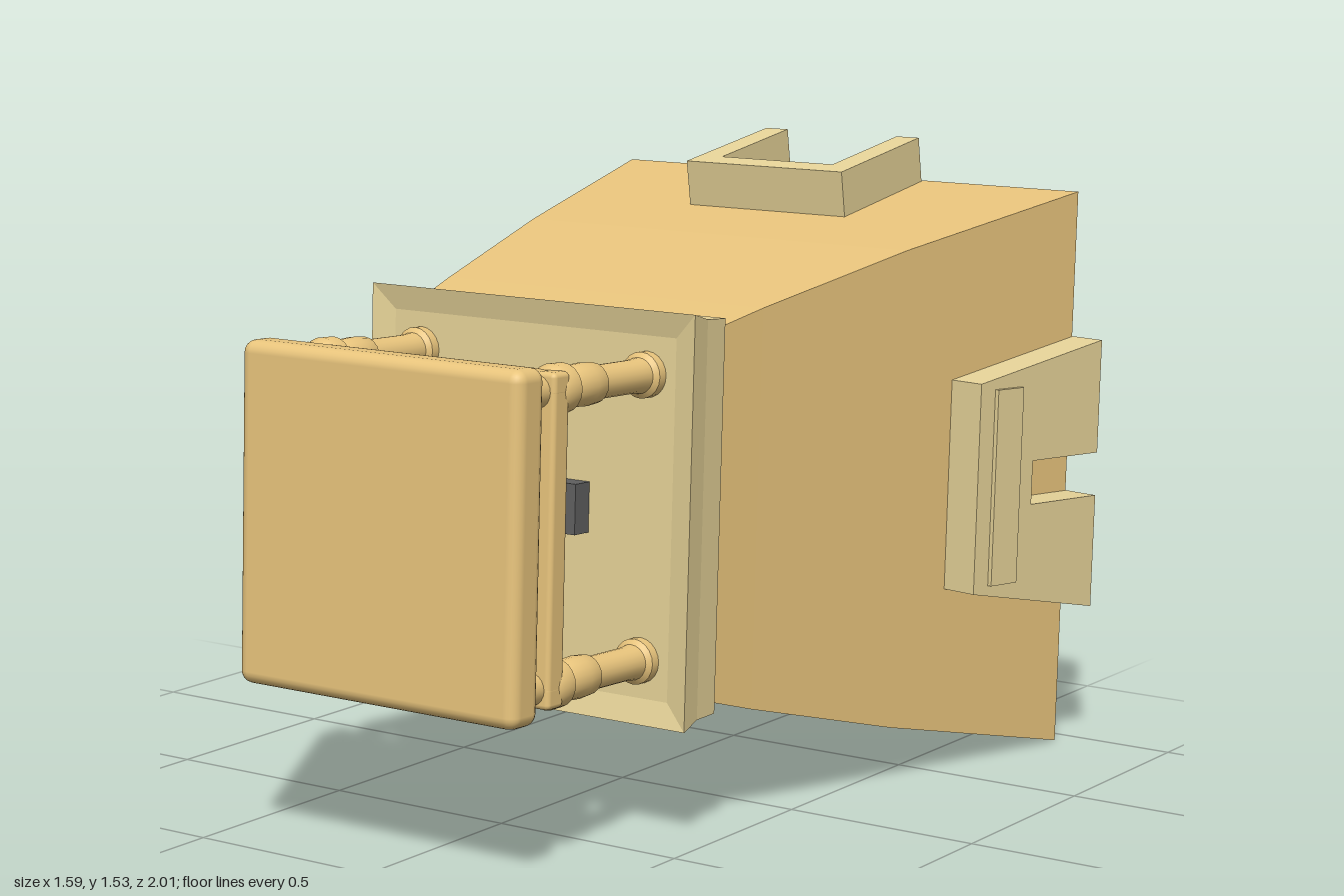
import * as THREE from 'three';
import { toCreasedNormals } from 'three/addons/utils/BufferGeometryUtils.js';
import { RoundedBoxGeometry } from 'three/addons/geometries/RoundedBoxGeometry.js';

const mat = (color, side = THREE.FrontSide) => new THREE.MeshStandardMaterial({ color, side });
const sand = mat(0xe8c47c);
const sandThin = mat(0xe8c47c, THREE.DoubleSide);
const pale = mat(0xe6d398);
const paleThin = mat(0xe6d398, THREE.DoubleSide);
const grey = mat(0x606060);
const dark = mat(0x222222);
const green = mat(0x2a3633);

function add(parent, name, geometry, material, x = 0, y = 0, z = 0) {
  const mesh = new THREE.Mesh(geometry, material);
  mesh.name = name;
  mesh.position.set(x, y, z);
  parent.add(mesh);
  return mesh;
}

// Rectangular tube through sections [z, half width, half height]
function rectTube(sections) {
  const corners = [[1, 1], [-1, 1], [-1, -1], [1, -1]];
  const pos = [];
  for (let i = 0; i < sections.length - 1; i++) {
    for (let k = 0; k < 4; k++) {
      const p = (s, c) => [c[0] * s[1], c[1] * s[2], s[0]];
      const c0 = corners[k], c1 = corners[(k + 1) % 4];
      const a0 = p(sections[i], c0), a1 = p(sections[i], c1);
      const b0 = p(sections[i + 1], c0), b1 = p(sections[i + 1], c1);
      pos.push(...a0, ...a1, ...b1, ...a0, ...b1, ...b0);
    }
  }
  const g = new THREE.BufferGeometry();
  g.setAttribute('position', new THREE.Float32BufferAttribute(pos, 3));
  g.computeVertexNormals();
  return g;
}

// Notched plate set through a wall; the notch opens to the back
function clip({ front, back, length, notch, notchStart, out, inside }) {
  const shape = new THREE.Shape([
    [-front, 0], [front, 0], [back, length], [notch, length],
    [notch, notchStart], [-notch, notchStart], [-notch, length], [-back, length],
  ].map(([x, y]) => new THREE.Vector2(x, y)));
  const g = new THREE.ExtrudeGeometry(shape, { depth: out + inside, bevelEnabled: false });
  return g.translate(0, 0, -inside);
}

// Small figure standing along +z
function figure(parent, name, x, z, height, material) {
  const f = new THREE.Group();
  f.name = name;
  f.position.set(x, 0.03, z);
  const h = height;
  const stem = add(f, 'stem', new THREE.CylinderGeometry(0.006, 0.008, h * 0.45, 8), material, 0, 0, h * 0.2);
  stem.rotation.x = Math.PI / 2;
  const body = add(f, 'body', new THREE.SphereGeometry(1, 12, 8), material, 0, 0, h * 0.46);
  body.scale.set(0.036, 0.038, h * 0.23);
  const head = add(f, 'head', new THREE.SphereGeometry(0.034, 12, 8), material, 0, 0.015, h * 0.7);
  head.scale.set(1, 1.2, 0.9);
  for (const s of [-1, 1]) {
    const ear = add(f, 'ear', new THREE.ConeGeometry(0.012, h * 0.3, 6), material, s * 0.02, 0.015, h * 0.86);
    ear.rotation.x = Math.PI / 2;
    const arm = add(f, 'arm', new THREE.CapsuleGeometry(0.009, 0.04, 3, 8), material, s * 0.033, 0.01, h * 0.5);
    arm.rotation.set(Math.PI / 2, 0, 0);
  }
  parent.add(f);
}

export function createModel() {
  const root = new THREE.Group();
  root.name = 'model';
  // The whole object leans back slightly
  const m = new THREE.Group();
  m.name = 'leaningBody';
  m.position.set(0.015, 0.751, 0);
  m.rotation.x = -0.042;
  root.add(m);

  // Open tapered housing
  add(m, 'housing', rectTube([
    [-0.97, 0.69, 0.71], [-0.35, 0.563, 0.59], [0.13, 0.464, 0.478], [0.275, 0.435, 0.44],
  ]), sandThin);

  // Collar with front plate and recessed inner step
  add(m, 'collar', rectTube([
    [0.275, 0.43, 0.435], [0.275, 0.456, 0.465], [0.35, 0.458, 0.468],
    [0.42, 0.47, 0.485], [0.405, 0.41, 0.425], [0.405, 0, 0],
  ]), paleThin);
  add(m, 'innerStep', rectTube([
    [0.275, 0.436, 0.441], [0.275, 0.34, 0.345], [0.395, 0.34, 0.345], [0.395, 0, 0],
  ]), paleThin);

  // Top clip
  const top = add(m, 'topClip', clip({
    front: 0.235, back: 0.235, length: 0.38, notch: 0.168, notchStart: 0.065, out: 0.115, inside: 0.115,
  }), pale, 0, 0.637, -0.588);
  top.rotation.x = -Math.PI / 2 + 0.19;

  // Side clips with raised strips on both faces
  for (const s of [-1, 1]) {
    const side = new THREE.Group();
    side.name = s > 0 ? 'leftClip' : 'rightClip';
    side.position.x = -0.012;
    side.rotation.z = -s * Math.PI / 2;
    m.add(side);
    const plate = add(side, 'clipPlate', clip({
      front: 0.262, back: 0.342, length: 0.455, notch: 0.055, notchStart: 0.205, out: 0.11, inside: 0.09,
    }), pale, 0, 0.598, -0.53);
    plate.rotation.x = -Math.PI / 2 + 0.2;
    add(plate, 'clipStrip', new THREE.BoxGeometry(0.49, 0.095, 0.222), pale, 0, 0.1, 0.01);
  }

  // Turned legs
  const profile = [
    [0, 0.39], [0.054, 0.39], [0.054, 0.43], [0.042, 0.44], [0.039, 0.47], [0.039, 0.61],
    [0.047, 0.62], [0.05, 0.66], [0.047, 0.715], [0.042, 0.725], [0.057, 0.735], [0.058, 0.775],
    [0.05, 0.79], [0.038, 0.80], [0.038, 0.89], [0, 0.89],
  ].map(([r, y]) => new THREE.Vector2(r, y));
  const legGeo = toCreasedNormals(new THREE.LatheGeometry(profile, 20), 0.6);
  legGeo.rotateX(Math.PI / 2);
  for (const x of [-0.33, 0.33]) {
    for (const y of [-0.335, 0.335]) add(m, 'leg', legGeo, sand, x, y, 0);
  }

  // Rails between the legs
  for (const s of [-1, 1]) {
    add(m, 'crossRail', new RoundedBoxGeometry(0.76, 0.055, 0.06, 2, 0.012), sand, 0, s * 0.352, 0.8);
    add(m, 'sideRail', new RoundedBoxGeometry(0.055, 0.76, 0.06, 2, 0.012), sand, s * 0.352, 0, 0.8);
  }

  // Front slab
  add(m, 'frontSlab', new RoundedBoxGeometry(0.8, 0.8, 0.102, 3, 0.03), sand, 0, 0, 0.935);

  // Three-step podium with a figure on each step
  const steps = [
    ['lowStep', 0.117, 0.46, 0.19, dark],
    ['highStep', -0.003, 0.575, 0.18, dark],
    ['middleStep', -0.117, 0.5, 0.2, green],
  ];
  for (const [name, x, z, h, material] of steps) {
    add(m, name, new THREE.BoxGeometry(0.116, 0.12, z - 0.4), grey, x, 0.008, (z + 0.4) / 2);
    figure(m, name + 'Figure', x, z, h, material);
  }
  return root;
}
